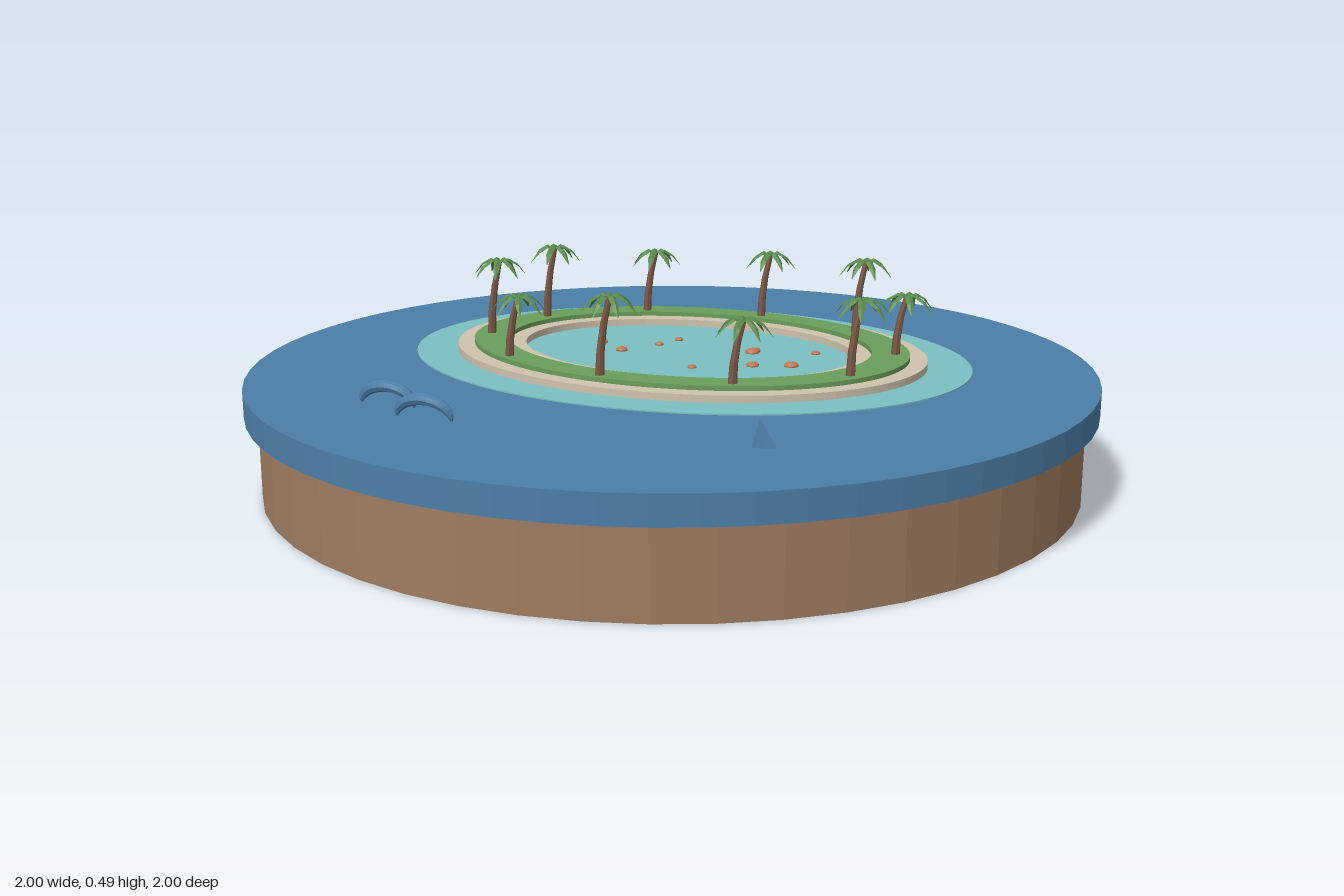
import * as THREE from 'three';

const mat = (name, color, extra = {}) => new THREE.MeshStandardMaterial({ name, color, ...extra });

export function createModel() {
  const model = new THREE.Group();
  model.name = 'atollDiorama';
  const earth = mat('earth brown', 0xa07c61, { flatShading: true });
  const sea = mat('sea blue', 0x4c7fa8, { flatShading: true });
  const shallow = mat('shallow turquoise', 0x7cc0c2);
  const sand = mat('sand', 0xcfc3ad);
  const grass = mat('grass green', 0x6a9f5b);
  const bark = mat('bark brown', 0x7a5845, { flatShading: true });
  const leaf = mat('leaf green', 0x57884a, { flatShading: true, side: THREE.DoubleSide });
  const coral = mat('coral orange', 0xbd7750, { flatShading: true });

  const add = (parent, name, geometry, material, x = 0, y = 0, z = 0) => {
    const mesh = new THREE.Mesh(geometry, material);
    mesh.name = name;
    mesh.position.set(x, y, z);
    parent.add(mesh);
    return mesh;
  };

  // Round plinth and sea slab
  add(model, 'plinth', new THREE.CylinderGeometry(0.97, 0.97, 0.2, 48), earth, 0, 0.1, 0);
  add(model, 'sea', new THREE.CylinderGeometry(1, 1, 0.065, 64), sea, 0, 0.2325, 0);

  // Tilted oval atoll: shallows, sand ring, grass ring
  const atoll = new THREE.Group();
  atoll.name = 'atoll';
  atoll.position.set(0.033, 0, -0.103);
  atoll.rotation.y = THREE.MathUtils.degToRad(-22);
  model.add(atoll);
  const oval = (name, outer, inner, y0, y1, material) => {
    const shape = new THREE.Shape();
    shape.absellipse(0, 0, outer[0], outer[1], 0, Math.PI * 2);
    if (inner) {
      const hole = new THREE.Path();
      hole.absellipse(0, 0, inner[0], inner[1], 0, Math.PI * 2, true);
      shape.holes.push(hole);
    }
    const geo = new THREE.ExtrudeGeometry(shape, { depth: y1 - y0, bevelEnabled: false, curveSegments: 64 });
    add(atoll, name, geo.rotateX(-Math.PI / 2), material, 0, y0, 0);
  };
  oval('shallows', [0.70, 0.54], null, 0.264, 0.268, shallow);
  oval('beach', [0.594, 0.453], [0.419, 0.301], 0.266, 0.285, sand);
  oval('grassRing', [0.552, 0.413], [0.46, 0.342], 0.28, 0.296, grass);

  // Arched, folded palm frond from three-point cross-sections
  const frondGeometry = () => {
    const sections = [[0, 0, 0.004], [0.022, 0.008, 0.009], [0.046, -0.006, 0.008], [0.066, -0.034, 0.001]];
    const pos = [], index = [];
    sections.forEach(([out, y, w], i) => {
      pos.push(out, y - w * 0.6, -w, out, y, 0, out, y - w * 0.6, w);
      if (i === 0) return;
      for (let k = 0; k < 2; k++) {
        const a = (i - 1) * 3 + k, b = a + 3;
        index.push(a, a + 1, b, a + 1, b + 1, b);
      }
    });
    const geo = new THREE.BufferGeometry();
    geo.setAttribute('position', new THREE.Float32BufferAttribute(pos, 3));
    geo.setIndex(index);
    geo.computeVertexNormals();
    return geo;
  };
  const frond = frondGeometry();

  // Palms: crown x, crown z, crown height
  const palms = [
    [-0.065, -0.49, 0.452], [0.24, -0.43, 0.458], [0.475, -0.235, 0.475], [0.555, 0.005, 0.435],
    [0.435, 0.22, 0.465], [0.17, 0.305, 0.437], [-0.13, 0.24, 0.474], [-0.36, 0.06, 0.435],
    [-0.44, -0.19, 0.477], [-0.325, -0.40, 0.477],
  ];
  palms.forEach(([x, z, top], n) => {
    const palm = new THREE.Group();
    palm.name = 'palm';
    palm.position.set(x, 0, z);
    const base = 0.29, height = top - base;
    const trunk = new THREE.CylinderGeometry(0.007, 0.011, height, 7, 3);
    // Lean the trunk towards +x with a slight curve
    const p = trunk.attributes.position;
    for (let i = 0; i < p.count; i++) {
      const t = p.getY(i) / height + 0.5;
      p.setX(i, p.getX(i) - 0.023 * (1 - t * t));
    }
    trunk.computeVertexNormals();
    add(palm, 'trunk', trunk, bark, 0, base + height / 2, 0);
    for (let i = 0; i < 7; i++) {
      const f = add(palm, 'frond', frond, leaf, 0, top, 0);
      f.rotation.y = n * 0.7 + (i / 7) * Math.PI * 2;
    }
    model.add(palm);
  });

  // Coral heads in the lagoon: x, z, radius
  const corals = [
    [-0.185, -0.21, 0.014], [-0.13, -0.125, 0.015], [-0.04, -0.19, 0.011], [0.007, -0.245, 0.011],
    [0.193, -0.112, 0.018], [0.2, -0.13, 0.014], [0.348, -0.105, 0.012], [0.193, 0.025, 0.016],
    [0.285, 0.025, 0.018], [0.05, 0.05, 0.011],
  ];
  for (const [x, z, r] of corals) {
    add(model, 'coralHead', new THREE.IcosahedronGeometry(r, 1), coral, x, 0.27, z).scale.y = 0.55;
  }

  // Leaping sea animals: arched bodies tapering to both ends
  for (const [x, z] of [[-0.6, 0.408], [-0.5, 0.515]]) {
    const arc = new THREE.TorusGeometry(1, 1, 8, 16, Math.PI);
    const p = arc.attributes.position;
    for (let j = 0; j <= 8; j++) {
      for (let i = 0; i <= 16; i++) {
        const a = (i / 16) * Math.PI, b = (j / 8) * Math.PI * 2;
        const r = 0.013 * Math.pow(Math.sin(a), 0.8) + 0.0008;
        const d = 1 + (r * Math.cos(b)) / 0.045;
        p.setXYZ(j * 17 + i, Math.cos(a) * 0.067 * d, Math.sin(a) * 0.043 * d, Math.sin(b) * r);
      }
    }
    arc.computeVertexNormals();
    add(model, 'leapingDolphin', arc, sea, x, 0.264, z).rotation.y = -0.36;
  }

  // Single fin with a swept-back tip
  const fin = new THREE.ConeGeometry(0.027, 0.062, 4);
  fin.scale(1, 1, 0.3);
  const q = fin.attributes.position;
  for (let i = 0; i < q.count; i++) q.setX(i, q.getX(i) - 0.010 * (q.getY(i) / 0.062 + 0.5));
  fin.computeVertexNormals();
  add(model, 'fin', fin, sea, 0.214, 0.295, 0.703).rotation.y = -0.25;

  return model;
}
